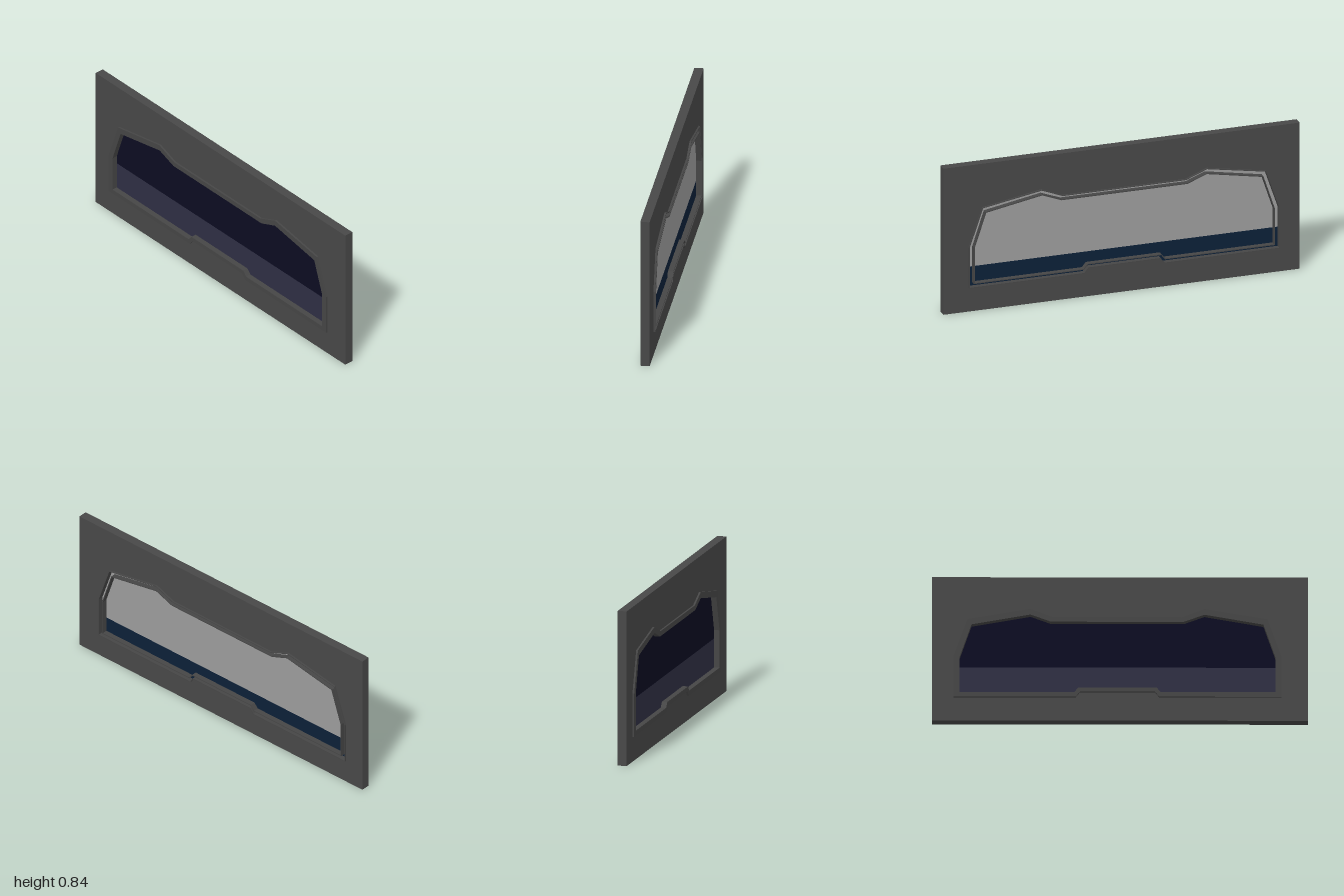
import * as THREE from 'three';

// Right half of each outline, from the sill notch up to the top centre
const CENTRE = -0.0135;
const INNER = [[0.208, 0.19], [0.23, 0.163], [0.84, 0.163], [0.84, 0.366], [0.776, 0.559], [0.462, 0.617], [0.353, 0.575]];
const OUTER = [[0.2, 0.165], [0.222, 0.136], [0.872, 0.136], [0.872, 0.37], [0.797, 0.59], [0.464, 0.65], [0.345, 0.602]];
// Slim lips just inside OUTER and just outside INNER
const OUTER_LIP = [[0.203, 0.169], [0.225, 0.14], [0.868, 0.14], [0.868, 0.37], [0.794, 0.587], [0.464, 0.645], [0.346, 0.598]];
const INNER_LIP = [[0.206, 0.185], [0.228, 0.158], [0.845, 0.158], [0.845, 0.366], [0.78, 0.563], [0.462, 0.622], [0.352, 0.58]];

// Mirrors a half outline into a closed, counter-clockwise loop
function loop(half) {
  const left = half.map(([x, y]) => [-x, y]).reverse();
  return [...half, ...left].map(([x, y]) => new THREE.Vector2(x + CENTRE, y));
}

// Extruded band between two loops, from z0 to z1
function band(outer, inner, z0, z1) {
  const shape = new THREE.Shape(outer);
  shape.holes.push(new THREE.Path(inner));
  const geo = new THREE.ExtrudeGeometry(shape, { depth: z1 - z0, bevelEnabled: false });
  return geo.translate(0, 0, z0);
}

// Flat part of an outline above or below a horizontal cut
function pane(half, cut, upper, z, back) {
  const side = [half[2][0], cut];
  const part = upper
    ? [side, ...half.filter((p) => p[1] > cut)]
    : [...half.filter((p) => p[1] < cut), side];
  const geo = new THREE.ShapeGeometry(new THREE.Shape(loop(part)));
  if (back) {
    // Shape is symmetric about CENTRE, so turn it around that axis
    geo.translate(-CENTRE, 0, 0).rotateY(Math.PI).translate(CENTRE, 0, 0);
  }
  return geo.translate(0, 0, z);
}

export function createModel() {
  const model = new THREE.Group();
  model.name = 'windowPanel';

  const material = (name, color) => {
    const m = new THREE.MeshStandardMaterial({ color });
    m.name = name;
    return m;
  };
  const wallGrey = material('wallGrey', 0x484848);
  const frameGrey = material('frameGrey', 0x464646);
  const darkGlass = material('darkGlass', 0x0c0c22);
  const paleGlass = material('paleGlass', 0x2f2f44);
  const blindGrey = material('blindGrey', 0x9c9c9c);
  const deepBlue = material('deepBlue', 0x0c2038);

  const add = (name, geo, mat) => {
    const mesh = new THREE.Mesh(geo, mat);
    mesh.name = name;
    model.add(mesh);
  };

  // Wall slab with the window opening
  const slab = [[-1, 0], [1, 0], [1, 0.84], [-1, 0.84]].map(([x, y]) => new THREE.Vector2(x, y));
  add('wall', band(slab, loop(OUTER), -0.025, 0.025), wallGrey);

  // Solid trim in front, two slim lips with a channel between them behind
  add('frontFrame', band(loop(OUTER), loop(INNER), -0.004, 0.035), frameGrey);
  add('backOuterLip', band(loop(OUTER), loop(OUTER_LIP), -0.035, -0.004), frameGrey);
  add('backInnerLip', band(loop(INNER_LIP), loop(INNER), -0.035, -0.004), frameGrey);

  // Glass seen from the front
  add('frontUpperGlass', pane(INNER, 0.32, true, 0.005, false), darkGlass);
  add('frontLowerGlass', pane(INNER, 0.32, false, 0.005, false), paleGlass);

  // Pane seen from the back, running under the channel
  add('backUpperPane', pane(OUTER, 0.25, true, -0.006, true), blindGrey);
  add('backLowerPane', pane(OUTER, 0.25, false, -0.006, true), deepBlue);

  return model;
}
